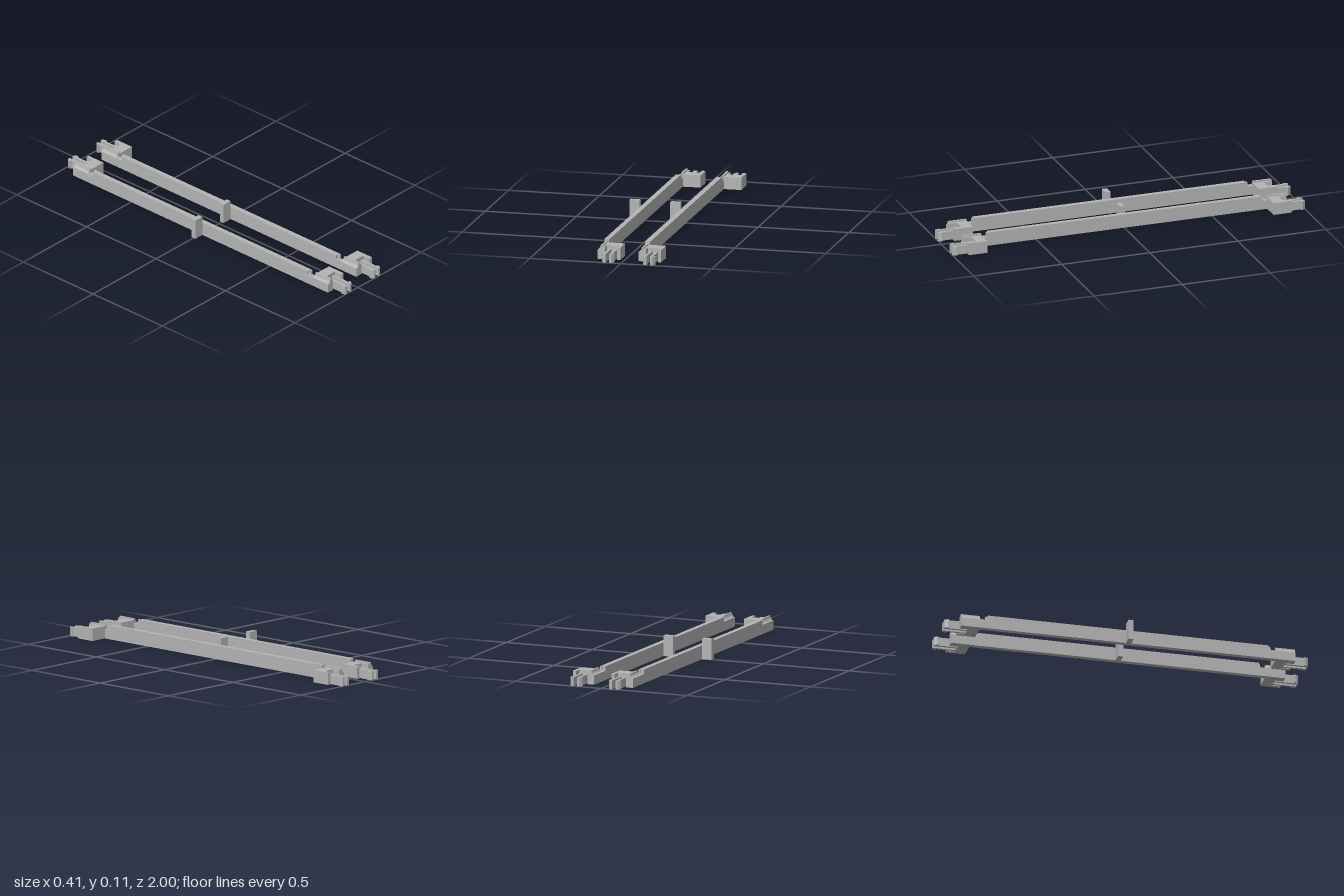
import * as THREE from 'three';

const grey = new THREE.MeshStandardMaterial({ color: 0xb4b4b4 });
grey.name = 'grey plastic';

// Rail cross-section limits, for the rail on the -x side
const X0 = -0.148, X1 = -0.12, TOP = 0.075, STEP = 0.05;

function addMesh(parent, name, geometry) {
  const mesh = new THREE.Mesh(geometry, grey);
  mesh.name = name;
  parent.add(mesh);
}

function box(parent, name, x0, x1, y0, y1, z0, z1) {
  const g = new THREE.BoxGeometry(x1 - x0, y1 - y0, z1 - z0);
  g.translate((x0 + x1) / 2, (y0 + y1) / 2, (z0 + z1) / 2);
  addMesh(parent, name, g);
}

// Outline in x and z, raised from the ground; side is +1 (front) or -1 (back)
function plan(parent, name, points, height, side) {
  const shape = new THREE.Shape(points.map(([x, z]) => new THREE.Vector2(x, z * side)));
  const g = new THREE.ExtrudeGeometry(shape, { depth: height, bevelEnabled: false });
  g.rotateX(Math.PI / 2).translate(0, height, 0);
  addMesh(parent, name, g);
}

// Rail section with a rounded groove along its upper outer edge
function groovedRail(parent, name, z0, z1, side) {
  const s = new THREE.Shape();
  s.moveTo(X0, 0);
  s.lineTo(X1, 0);
  s.lineTo(X1, TOP);
  s.lineTo(X0 + 0.017, TOP);
  s.absellipse(X0, TOP, 0.017, TOP - STEP, 0, -Math.PI / 2, true);
  s.lineTo(X0, 0);
  const g = new THREE.ExtrudeGeometry(s, { depth: z1 - z0, bevelEnabled: false, curveSegments: 10 });
  g.translate(0, 0, side > 0 ? z0 : -z1);
  addMesh(parent, name, g);
}

function createEnd(side) {
  const end = new THREE.Group();
  end.name = side > 0 ? 'frontConnector' : 'backConnector';

  // Rail end, low neck and grooved ridge beside the block
  groovedRail(end, 'railEnd', 0.773, 0.783, side);
  const za = 0.783 * side, zb = 0.812 * side;
  box(end, 'neck', X0, X1, 0, STEP, Math.min(za, zb), Math.max(za, zb));
  groovedRail(end, 'groovedRidge', 0.812, 0.918, side);

  // U-shaped socket block
  plan(end, 'socketBlock', [
    [X1, 0.812], [-0.023, 0.812], [-0.023, 0.918], [-0.042, 0.918],
    [-0.042, 0.872], [-0.108, 0.872], [-0.108, 0.918], [X1, 0.918],
  ], 0.067, side);

  // Pair of snap arms with outward barbs
  const middle = -0.0735;
  for (const dir of [-1, 1]) {
    plan(end, 'snapArm', [
      [0.0105, 0.872], [0.0235, 0.872], [0.0235, 0.974],
      [0.0345, 0.978], [0.0345, 0.983], [0.0235, 1], [0.0105, 1],
    ].map(([x, z]) => [middle + dir * x, z]), 0.048, side);
  }
  return end;
}

function createRail(name, offset) {
  const rail = new THREE.Group();
  rail.name = name;
  box(rail, 'rail', X0, X1, 0, TOP, -0.773, 0.773);
  box(rail, 'centreTab', -0.204, X0, 0, 0.112, -0.014, 0.014);
  rail.add(createEnd(1), createEnd(-1));
  rail.position.x = offset;
  return rail;
}

export function createModel() {
  const model = new THREE.Group();
  model.name = 'clipRails';
  model.add(createRail('rightRail', 0), createRail('leftRail', 0.225));
  return model;
}
